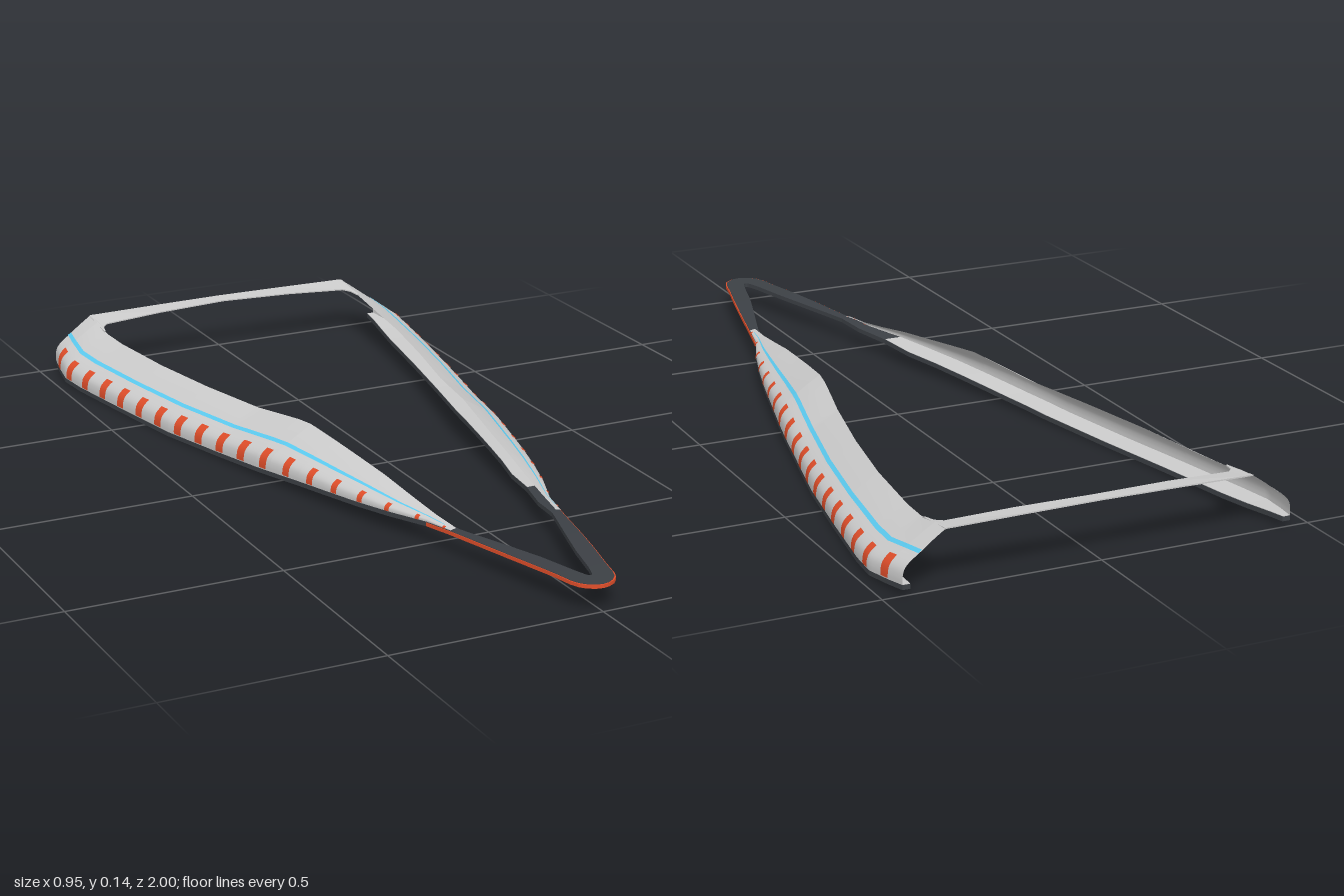
import * as THREE from 'three';

const paint = (color) => new THREE.MeshStandardMaterial({ color });
const white = paint(0xf2f2f2), dark = paint(0x3c4045), red = paint(0xe04e2a), blue = paint(0x5ccbf0);
const shellMat = new THREE.MeshStandardMaterial({ color: 0xf2f2f2, side: THREE.DoubleSide });

// Stations along the side panel: z, inner top x, outer x, floor y, top y
const STATIONS = [
  [-1, .356, .455, .013, .132], [-.95, .358, .465, .009, .127], [-.88, .357, .475, .004, .115],
  [-.8, .35, .466, .002, .111], [-.6, .325, .432, .001, .11], [-.4, .288, .395, 0, .11],
  [-.2, .243, .35, .006, .112], [-.12, .224, .333, .01, .119], [-.05, .208, .317, .013, .125],
  [0, .199, .305, .016, .127], [.1, .184, .28, .022, .117], [.2, .17, .255, .027, .106],
  [.3, .157, .227, .031, .095], [.4, .145, .195, .036, .08], [.5, .134, .155, .041, .067],
  [.58, .124, .137, .045, .06],
];
const LIP = 0.011;

function station(z) {
  let i = 0;
  while (i < STATIONS.length - 2 && z > STATIONS[i + 1][0]) i++;
  const a = STATIONS[i], b = STATIONS[i + 1], t = (z - a[0]) / (b[0] - a[0]);
  return a.map((v, k) => v + (b[k] - v) * t);
}

// Panel profile from inner top edge to outer bottom edge, in unit coordinates
const profile = new THREE.CatmullRomCurve3(
  [[0, 1], [.33, .79], [.62, .585], [.86, .42], [.965, .29], [1, .13], [1, 0]]
    .map(([x, y]) => new THREE.Vector3(x, y, 0)));

// Point on the panel surface, lifted outwards by a small distance
function panelPoint(z, t, lift) {
  const [, xi, xo, yf, yt] = station(z);
  const p = profile.getPoint(t), d = profile.getTangent(t);
  const w = xo - xi, h = yt - yf - LIP;
  const n = new THREE.Vector2(-d.y * h, d.x * w).normalize().multiplyScalar(lift);
  return [xi + p.x * w + n.x, yf + LIP + p.y * h + n.y, z];
}

const range = (a, b, n) => Array.from({ length: n + 1 }, (_, i) => a + (b - a) * i / n);

// Smooth grid surface over z and t, mirrored when side is -1
function panelPatch(zs, ts, lift, side) {
  const pos = [], idx = [], m = ts.length;
  for (const z of zs) for (const t of ts) {
    const [x, y, zz] = panelPoint(z, t, lift);
    pos.push(x * side, y, zz);
  }
  for (let i = 0; i < zs.length - 1; i++) for (let j = 0; j < m - 1; j++) {
    const a = i * m + j, b = a + m, c = b + 1, d = a + 1;
    if (side > 0) idx.push(a, b, d, b, c, d);
    else idx.push(a, d, b, b, d, c);
  }
  const g = new THREE.BufferGeometry();
  g.setAttribute('position', new THREE.Float32BufferAttribute(pos, 3));
  g.setIndex(idx);
  g.computeVertexNormals();
  return g;
}

// Flat-faced loft through closed rings with end caps; each ring has four points
function loft(rings, flip) {
  const pos = rings.flat(2), idx = [], n = 4, last = (rings.length - 1) * n;
  const tri = (a, b, c) => (flip ? idx.push(a, c, b) : idx.push(a, b, c));
  for (let i = 0; i < rings.length - 1; i++) for (let j = 0; j < n; j++) {
    const a = i * n + j, b = i * n + (j + 1) % n;
    tri(a, b, a + n);
    tri(b, b + n, a + n);
  }
  tri(0, 2, 1); tri(0, 3, 2);
  tri(last, last + 1, last + 2); tri(last, last + 2, last + 3);
  const g = new THREE.BufferGeometry();
  g.setAttribute('position', new THREE.Float32BufferAttribute(pos, 3));
  g.setIndex(idx);
  const flat = g.toNonIndexed();
  flat.computeVertexNormals();
  return flat;
}

// Base rail under the panel: outer x, outer z, inner x, inner z, floor y, thickness
const FLOOR = STATIONS.map(([z, xi, xo, yf]) => {
  const width = Math.min(.06, .018 + (z + 1) * .3);
  return [xo, z, Math.max(xo - width, xi + (z > .45 ? -.01 : .006)), z, yf, z > .45 ? .01 : LIP];
});
// Nose half of the rail
const NOSE = [
  [.128, .62, .102, .62, .046, .01], [.106, .72, .07, .72, .049, .01], [.085, .81, .042, .81, .051, .01],
  [.062, .9, .018, .905, .052, .01], [.051, .95, .01, .93, .052, .01], [.043, .97, .007, .938, .052, .01],
  [.03, .985, .004, .943, .052, .01], [.015, .994, .002, .945, .052, .01], [0, .997, 0, .946, .052, .01],
];
const RAIL = [...FLOOR, ...NOSE];

function railRing([xo, zo, xi, zi, y, h], side) {
  return [[xi * side, y, zi], [xo * side, y, zo], [xo * side, y + h, zo], [xi * side, y + h, zi]];
}

// Pale lining on top of the floor, inside the panel
const liningRing = ([xo, zo, xi, zi, y, h], side) =>
  railRing([xo - .001, zo, xi + .001, zi, y + h, .001], side);

// Red trim wrapped around the outer edge of the nose
function trimRing([xo, zo, , , y, h], side) {
  const front = xo < .055;
  const ox = xo + (xo > .02 ? .002 : 0), oz = front ? zo + .003 : zo;
  return railRing([ox, oz, Math.max(xo - .003, 0), front ? zo - .003 : zo, y + .001, h - .002], side);
}

export function createModel() {
  const model = new THREE.Group();
  const add = (parent, name, geometry, material) => {
    const mesh = new THREE.Mesh(geometry, material);
    mesh.name = name;
    parent.add(mesh);
  };
  const zs = [...new Set([...range(-1, .58, 60), ...STATIONS.map((s) => s[0])])].sort((a, b) => a - b);

  for (const side of [1, -1]) {
    const half = new THREE.Group();
    half.name = side > 0 ? 'leftSide' : 'rightSide';
    model.add(half);
    add(half, 'sidePanel', panelPatch(zs, range(0, 1, 18), 0, side), shellMat);
    add(half, 'blueLine', panelPatch(zs.filter((z) => z < .57), [.295, .32, .345], .0015, side), blue);

    // Row of red marks along the lower panel, narrowing to the front
    for (let i = 0; i < 19; i++) {
      const z = -.94 + i * .0832, w = Math.min(.0135, .004 + (.57 - z) * .014);
      add(half, 'redMark', panelPatch([z - w, z, z + w], range(.46, .96, 8), .0018, side), red);
    }

    // Dark floor and nose rail
    add(half, 'baseRail', loft(RAIL.map((r) => railRing(r, side)), side < 0), dark);
    add(half, 'floorLining', loft(FLOOR.slice(0, -2).map((r) => liningRing(r, side)), side < 0), white);
    add(half, 'noseTrim', loft(RAIL.slice(FLOOR.length - 2).map((r) => trimRing(r, side)), side < 0), red);
  }

  // Rear crossbar, bowed upward, flaring into both panels: x, front z, front y, back y
  const bar = [[.36, -.89, .118, .131], [.355, -.9, .119, .132], [.35, -.925, .121, .132],
    [.335, -.942, .123, .132], [.18, -.952, .13, .134], [0, -.962, .133, .1355]];
  const full = [...bar.map(([x, ...r]) => [-x, ...r]), ...bar.slice(0, -1).reverse()];
  const rings = full.map(([x, z, yf, yb]) =>
    [[x, yf - .003, z], [x, yf, z], [x, yb, -1], [x, yb - .003, -1]]);
  add(model, 'rearCrossbar', loft(rings, true), white);
  return model;
}
